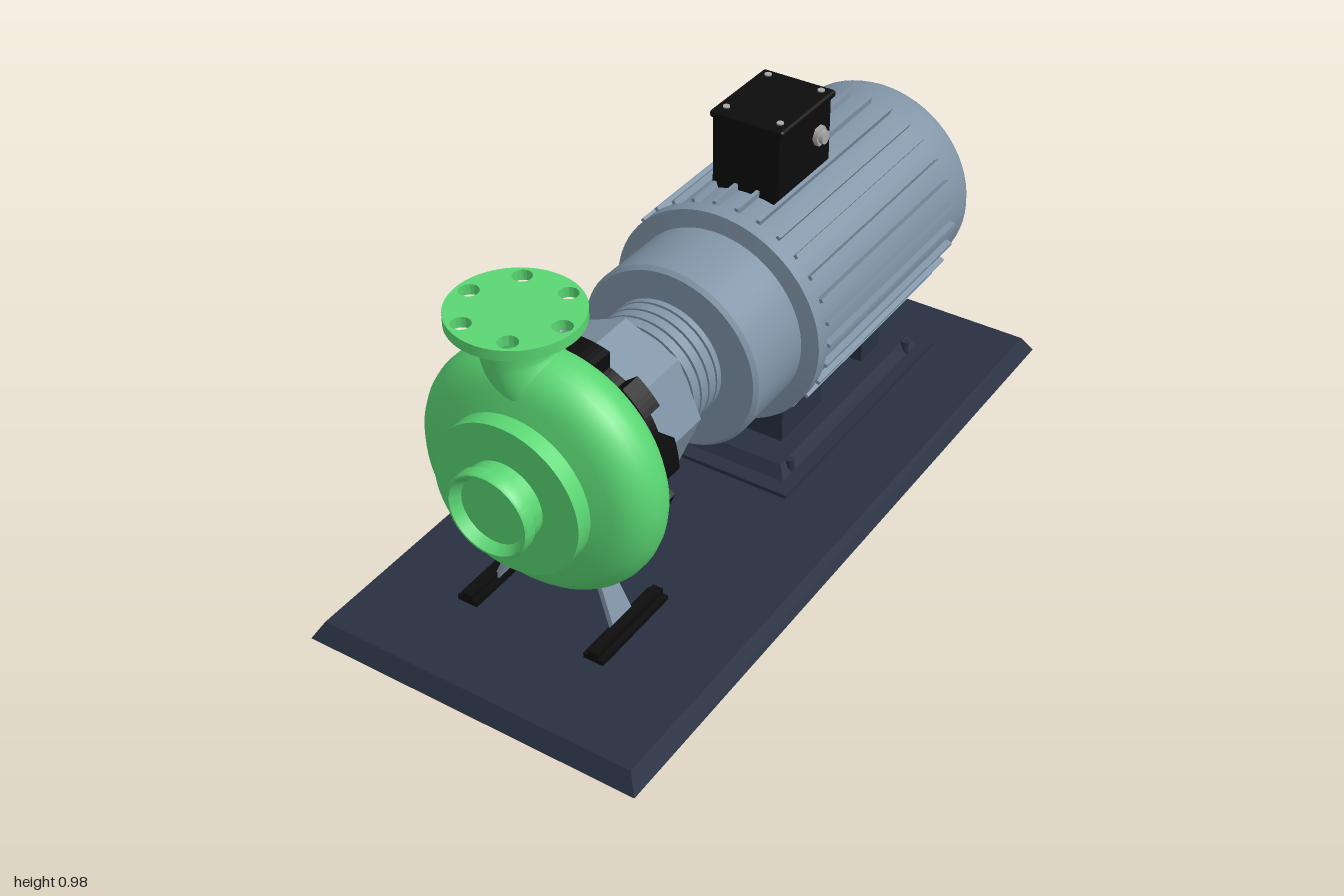
import * as THREE from 'three';
import { toCreasedNormals } from 'three/addons/utils/BufferGeometryUtils.js';
import { RoundedBoxGeometry } from 'three/addons/geometries/RoundedBoxGeometry.js';

const mat = (color) => new THREE.MeshStandardMaterial({ color });

export function createModel() {
  const root = new THREE.Group();
  const green = mat(0x5ad673), steel = mat(0x8094a6), navy = mat(0x283142);
  const black = mat(0x0c0c0d), silver = mat(0xa8a8a8);
  const AXIS = 0.485, MX = -0.005, PX = -0.015;

  const add = (name, geo, material, x = 0, y = 0, z = 0, parent = root) => {
    const m = new THREE.Mesh(geo, material);
    m.name = name;
    m.position.set(x, y, z);
    parent.add(m);
    return m;
  };
  const box = (name, m, x0, x1, y0, y1, z0, z1, parent) =>
    add(name, new THREE.BoxGeometry(x1 - x0, y1 - y0, z1 - z0), m,
      (x0 + x1) / 2, (y0 + y1) / 2, (z0 + z1) / 2, parent);
  // Turned part around the shaft; points are [radius, z] from back to front
  const turned = (name, m, x, pts, seg = 64) => {
    const g = new THREE.LatheGeometry(pts.map(p => new THREE.Vector2(p[0], p[1])), seg).rotateX(Math.PI / 2);
    return add(name, toCreasedNormals(g, 0.6), m, x, AXIS, 0);
  };
  // Box whose top is inset to form sloping sides
  const plinth = (name, m, x, z, w, d, y0, y1, inset) => {
    const g = new THREE.BoxGeometry(w, y1 - y0, d).toNonIndexed();
    const p = g.attributes.position;
    for (let i = 0; i < p.count; i++) {
      if (p.getY(i) > 0) {
        p.setX(i, p.getX(i) - Math.sign(p.getX(i)) * inset);
        p.setZ(i, p.getZ(i) - Math.sign(p.getZ(i)) * inset);
      }
    }
    g.computeVertexNormals();
    return add(name, g, m, x, (y0 + y1) / 2, z);
  };

  // Base and motor mounting
  plinth('basePlate', navy, 0, 0, 0.93, 2, 0, 0.046, 0.027);
  box('motorBedPlate', navy, -0.25, 0.245, 0.04, 0.057, -0.81, -0.005);
  plinth('motorBed', navy, -0.005, -0.41, 0.43, 0.72, 0.057, 0.09, 0.02);
  box('frontMotorFoot', navy, -0.2, 0.142, 0.085, 0.18, -0.36, -0.155);
  box('rearMotorFoot', navy, -0.2, 0.142, 0.085, 0.18, -0.675, -0.575);
  for (const z of [-0.36, -0.575]) {
    box('footSaddle', navy, -0.09, 0.08, 0.18, 0.21, z - 0.1, z + (z > -0.5 ? 0.2 : 0));
  }
  for (const x of [-0.21, 0.2]) for (const z of [-0.1, -0.72]) {
    add('bedBolt', new THREE.CylinderGeometry(0.012, 0.012, 0.04, 6), navy, x, 0.075, z);
  }

  // Motor housing
  turned('motorBody', steel, MX, [[0, -0.78], [0.288, -0.78], [0.288, -0.105], [0.297, -0.105],
    [0.297, -0.065], [0.25, -0.06], [0.252, 0.14], [0.242, 0.15], [0, 0.15]]);
  turned('fanCover', steel, MX, [[0, -0.905], [0.245, -0.905], [0.263, -0.902], [0.276, -0.892],
    [0.283, -0.878], [0.285, -0.855], [0.285, -0.77], [0, -0.77]]);
  const fins = new THREE.Group();
  fins.name = 'coolingFins';
  fins.position.set(MX, AXIS, -0.4375);
  root.add(fins);
  const finGeo = new THREE.BoxGeometry(0.035, 0.01, 0.665);
  const FINS = 30;
  for (let i = 0; i < FINS; i++) {
    const a = i / FINS * Math.PI * 2;
    add('fin', finGeo, steel, Math.cos(a) * 0.2885, Math.sin(a) * 0.2885, 0, fins).rotation.z = a;
  }

  // Terminal box with lid, screws and cable gland
  box('terminalBox', black, -0.105, 0.085, 0.76, 0.96, -0.45, -0.205);
  add('terminalLid', new RoundedBoxGeometry(0.21, 0.02, 0.258, 2, 0.008), black, -0.008, 0.965, -0.328);
  for (const x of [-0.085, 0.068]) for (const z of [-0.43, -0.235]) {
    add('lidScrew', new THREE.CylinderGeometry(0.009, 0.009, 0.006, 16), silver, x, 0.976, z);
  }
  const gland = (name, r, len, x, sides) =>
    add(name, new THREE.CylinderGeometry(r, r, len, sides).rotateZ(Math.PI / 2), silver, x, 0.875, -0.39);
  gland('cableGland', 0.027, 0.014, 0.091, 6);
  gland('cableGlandTip', 0.018, 0.03, 0.094, 24);

  // Grooved shaft coupling
  const rings = [[0, 0.14]];
  for (let i = 0; i < 5; i++) {
    const z = 0.14 + i * 0.034;
    rings.push([0.162, z], [0.162, z + 0.027], [0.15, z + 0.027], [0.15, z + 0.034]);
  }
  rings.push([0, 0.315]);
  turned('shaftCoupling', steel, PX, rings);

  // Eight-sided bearing housing
  turned('bearingHousing', steel, PX, [[0, 0.31], [0.208, 0.31], [0.208, 0.5], [0, 0.5]], 8);

  // Castellated clamping ring
  const ring = new THREE.Shape();
  const TEETH = 10;
  for (let i = 0; i < TEETH * 12; i++) {
    const a = i / (TEETH * 12) * Math.PI * 2;
    const r = i % 12 < 7 ? 0.266 : 0.225;
    ring[i ? 'lineTo' : 'moveTo'](Math.cos(a) * r, Math.sin(a) * r);
  }
  ring.closePath();
  add('clampingRing', new THREE.ExtrudeGeometry(ring, { depth: 0.06, bevelEnabled: false }),
    black, PX, AXIS, 0.49);

  // Pump casing with suction nozzle
  const casing = [[0, 0.545], [0.21, 0.545]];
  for (let i = 0; i <= 12; i++) {
    const a = -Math.PI / 2 + i / 12 * Math.PI * 0.93;
    casing.push([0.225 + 0.097 * Math.cos(a), 0.642 + 0.093 * Math.sin(a)]);
  }
  casing.push([0.2, 0.745], [0.2, 0.79], [0.103, 0.79], [0.103, 0.825], [0.112, 0.83], [0.112, 0.855],
    [0.108, 0.861], [0.103, 0.861], [0.088, 0.835], [0, 0.835]);
  turned('pumpCasing', green, PX, casing, 80).position.y = 0.482;

  // Discharge neck leaving the casing tangentially
  const neck = new THREE.CatmullRomCurve3([[0.19, 0.58], [0.085, 0.676], [-0.015, 0.712], [-0.06, 0.775],
    [-0.067, 0.83], [-0.067, 0.872]].map(p => new THREE.Vector3(p[0], p[1], 0.643)));
  add('dischargeNeck', new THREE.TubeGeometry(neck, 40, 0.092, 40), green);

  // Discharge flange with bolt holes
  const disc = new THREE.Shape().absarc(0, 0, 0.16, 0, Math.PI * 2);
  for (let i = 0; i < 6; i++) {
    const a = i * Math.PI / 3;
    disc.holes.push(new THREE.Path().absarc(Math.cos(a) * 0.127, Math.sin(a) * 0.127, 0.024, 0, Math.PI * 2, true));
  }
  const flange = new THREE.ExtrudeGeometry(disc, { depth: 0.027, bevelEnabled: false, curveSegments: 32 });
  add('dischargeFlange', toCreasedNormals(flange.rotateX(-Math.PI / 2), 0.6), green, -0.07, 0.868, 0.645);

  // Splayed pump legs on rails
  for (const s of [-1, 1]) {
    const leg = new THREE.BoxGeometry(0.014, 0.18, 0.08);
    const p = leg.attributes.position;
    for (let i = 0; i < p.count; i++) {
      const top = p.getY(i) > 0;
      p.setX(i, p.getX(i) + s * (top ? 0.098 : 0.17));
      if (top) p.setZ(i, p.getZ(i) * 0.5);
    }
    leg.computeVertexNormals();
    add('pumpLeg', leg, steel, PX + 0.002, 0.15, 0.6);
    const cx = PX + 0.004 + s * 0.184;
    box('footRail', black, cx - 0.028, cx + 0.028, 0.044, 0.06, 0.47, 0.74);
    box('footRib', black, cx - 0.014, cx + 0.014, 0.055, 0.075, 0.47, 0.74);
  }
  return root;
}
